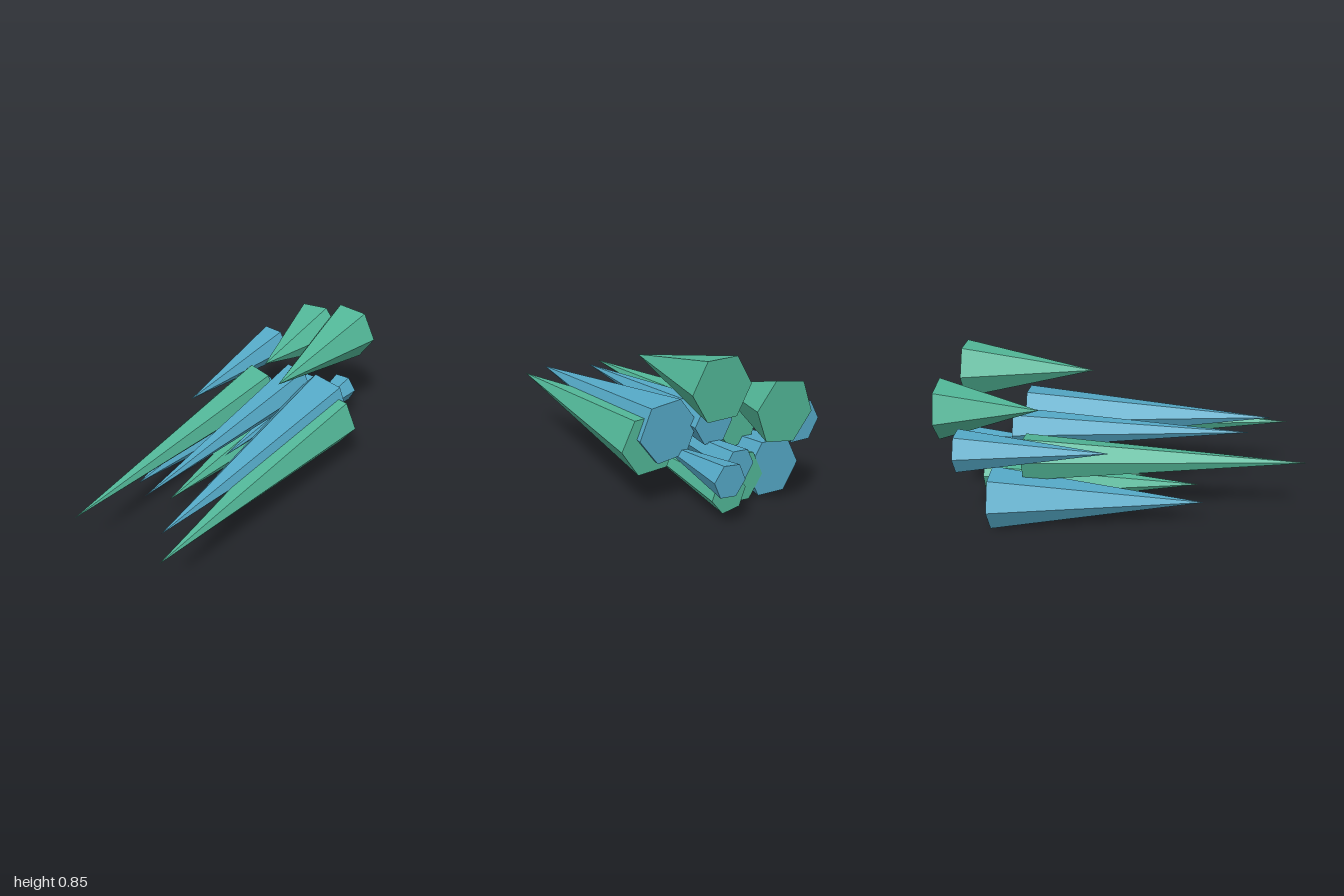
import * as THREE from 'three';

// Cluster of hexagonal spikes, all pointing forward (+z).
export function createModel() {
  const model = new THREE.Group();
  model.name = 'spikeCluster';

  const green = new THREE.MeshStandardMaterial({ color: 0x52b798, flatShading: true });
  green.name = 'seaGreen';
  const blue = new THREE.MeshStandardMaterial({ color: 0x55aac8, flatShading: true });
  blue.name = 'steelBlue';

  // x, y, radius, base z, tip z, roll in degrees (0 puts a corner at +x)
  const addSpike = (name, material, [x, y, radius, base, tip, roll]) => {
    const geometry = new THREE.ConeGeometry(radius, tip - base, 6);
    geometry.rotateX(Math.PI / 2);
    geometry.rotateZ(THREE.MathUtils.degToRad(roll + 30));
    const spike = new THREE.Mesh(geometry, material);
    spike.name = name;
    spike.position.set(x, y, (base + tip) / 2);
    model.add(spike);
  };

  const greenSpikes = [
    [0.178, 0.71, 0.166, -0.905, -0.175, -1],
    [-0.115, 0.58, 0.168, -1, -0.455, 9],
    [-0.222, 0.352, 0.131, -0.525, 1, -10.5],
    [0.322, 0.352, 0.166, -0.53, 0.96, -3.6],
    [-0.101, 0.142, 0.147, -0.705, 0.43, 4],
    [0.04, 0.123, 0.104, -0.8, 0.14, -9],
  ];
  const blueSpikes = [
    [-0.351, 0.443, 0.115, -0.86, -0.055, 0],
    [0, 0.423, 0.115, -0.61, 0.71, -1],
    [0.238, 0.413, 0.17, -0.565, 0.85, -7],
    [-0.322, 0.152, 0.169, -0.7, 0.45, 2],
    [-0.001, 0.272, 0.088, -0.82, 0.07, 3],
    [0.147, 0.267, 0.091, -0.94, -0.3, 6],
  ];

  greenSpikes.forEach((s, i) => addSpike(`greenSpike${i + 1}`, green, s));
  blueSpikes.forEach((s, i) => addSpike(`blueSpike${i + 1}`, blue, s));
  return model;
}
